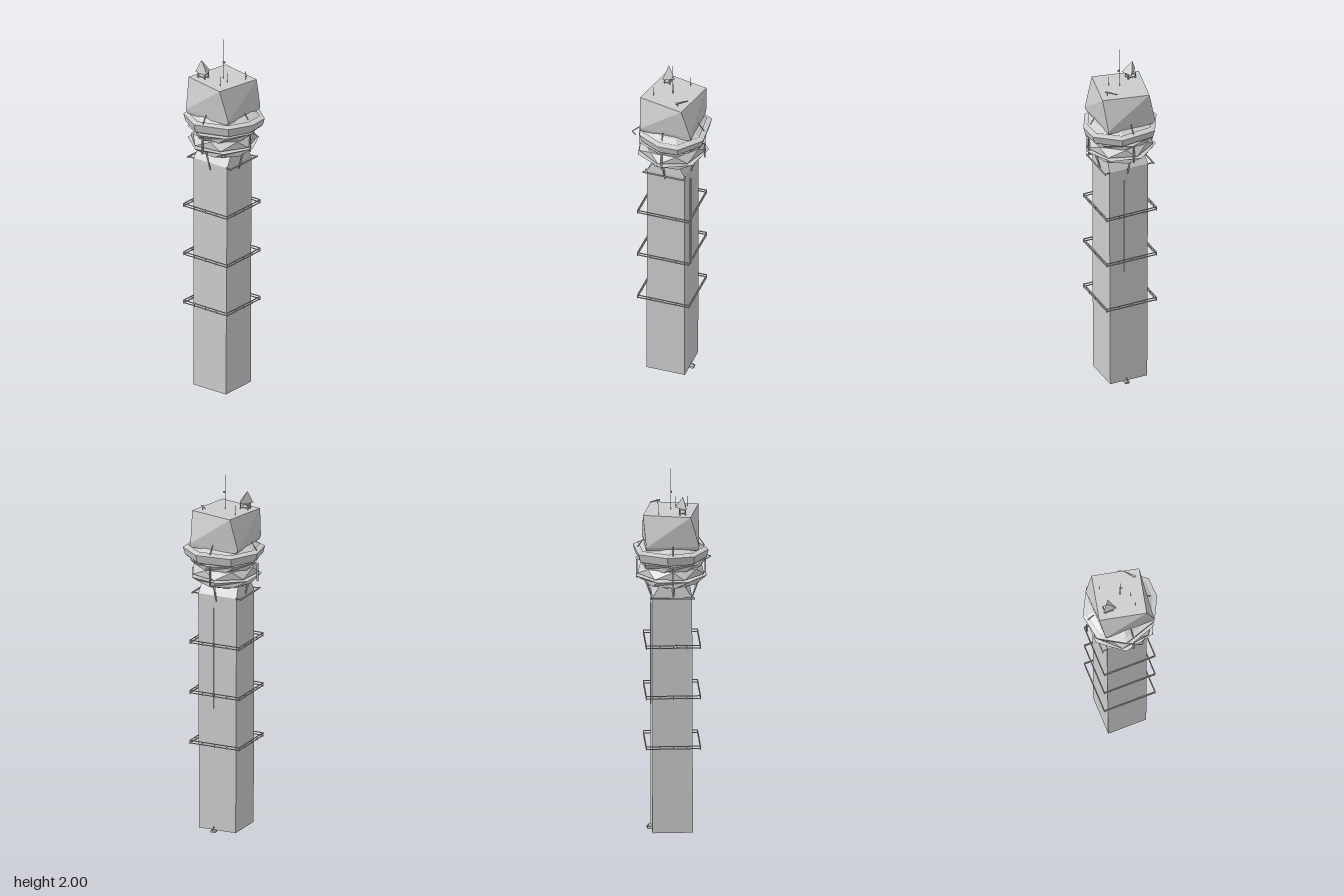
import * as THREE from 'three';

const concrete = new THREE.MeshStandardMaterial({ color: 0xcccccc, flatShading: true, side: THREE.DoubleSide });
concrete.name = 'pale grey concrete';

function add(parent, name, geometry) {
  const mesh = new THREE.Mesh(geometry, concrete);
  mesh.name = name;
  parent.add(mesh);
  return mesh;
}

function box(parent, name, w, h, d, x, y, z) {
  const mesh = add(parent, name, new THREE.BoxGeometry(w, h, d));
  mesh.position.set(x, y, z);
  return mesh;
}

// Thin straight rod between two points, optionally tapered
function rod(parent, name, a, b, rA = 0.003, rB = rA) {
  const from = new THREE.Vector3(...a), to = new THREE.Vector3(...b);
  const mesh = add(parent, name, new THREE.CylinderGeometry(rB, rA, from.distanceTo(to), 4));
  mesh.position.copy(from).lerp(to, 0.5);
  mesh.quaternion.setFromUnitVectors(new THREE.Vector3(0, 1, 0), to.sub(from).normalize());
  return mesh;
}

// Closed solid through stacked sections; each section is { y, p: [[x, z], ...] }
function loft(sections) {
  const n = sections[0].p.length;
  const pos = [], index = [];
  const mid = ({ y, p }) => [p.reduce((s, q) => s + q[0], 0) / n, y, p.reduce((s, q) => s + q[1], 0) / n];
  for (const { y, p } of sections) for (const [x, z] of p) pos.push(x, y, z);
  for (let s = 0; s < sections.length - 1; s++) {
    for (let i = 0; i < n; i++) {
      const j = (i + 1) % n, a = s * n, b = a + n;
      index.push(a + i, b + i, a + j, a + j, b + i, b + j);
    }
  }
  const top = (sections.length - 1) * n, c = sections.length * n;
  pos.push(...mid(sections[0]), ...mid(sections[sections.length - 1]));
  for (let i = 0; i < n; i++) {
    const j = (i + 1) % n;
    index.push(c, i, j, c + 1, top + j, top + i);
  }
  const g = new THREE.BufferGeometry();
  g.setAttribute('position', new THREE.Float32BufferAttribute(pos, 3));
  g.setIndex(index);
  const flat = g.toNonIndexed();
  flat.computeVertexNormals();
  return flat;
}

// Points run from the back left of the plan clockwise as seen from above
const rect = (x0, x1, z0, z1) => [[x0, z0], [x1, z0], [x1, z1], [x0, z1]];
const polygon = (n, r, turn) => Array.from({ length: n }, (_, i) => {
  const a = turn + (i / n) * Math.PI * 2;
  return [Math.cos(a) * r, Math.sin(a) * r - 0.01];
});
const scaled = (p, s) => p.map(([x, z]) => [x * s, z * s]);

export function createModel() {
  const tower = new THREE.Group();
  tower.name = 'controlTower';

  // Square shaft with a tapered neck
  add(tower, 'shaft', loft([
    { y: 0.01, p: rect(-0.115, 0.102, -0.115, 0.1) },
    { y: 1.32, p: rect(-0.12, 0.107, -0.115, 0.095) },
    { y: 1.38, p: rect(-0.112, 0.1, -0.08, 0.055) },
  ]));
  box(tower, 'backConduit', 0.009, 0.56, 0.008, 0.018, 0.97, -0.117);
  box(tower, 'doorStep', 0.025, 0.012, 0.022, 0.01, 0.006, -0.125);
  rod(tower, 'doorRail', [0.01, 0.01, -0.142], [0.01, 0.03, -0.12]);

  // Double railings around the shaft
  const xa = -0.152, xb = 0.138, za = -0.15, zb = 0.138;
  for (const y of [0.495, 0.775, 1.055]) {
    const ring = new THREE.Group();
    ring.name = 'shaftRailing';
    tower.add(ring);
    for (const h of [-0.007, 0.007]) {
      for (const z of [za, zb]) box(ring, 'rail', xb - xa, 0.004, 0.005, (xa + xb) / 2, y + h, z);
      for (const x of [xa, xb]) box(ring, 'rail', 0.005, 0.004, zb - za, x, y + h, (za + zb) / 2);
    }
    for (let i = 0; i < 5; i++) {
      const t = i / 4;
      for (const z of [za, zb]) box(ring, 'post', 0.004, 0.022, 0.004, xa + (xb - xa) * t, y - 0.002, z);
      for (const x of [xa, xb]) box(ring, 'post', 0.004, 0.022, 0.004, x, y - 0.002, za + (zb - za) * t);
    }
  }
  // Side rails at the neck
  for (const x of [-0.148, 0.136]) {
    box(tower, 'neckRail', 0.005, 0.008, 0.24, x, 1.322, -0.01);
    for (const z of [-0.12, 0.1]) box(tower, 'neckRailArm', 0.035, 0.005, 0.005, x - Math.sign(x) * 0.015, 1.322, z);
  }
  // Slanting struts under the head, one on each side
  for (const [x, z] of [[1, 0], [-1, 0], [0, 1], [0, -1]]) {
    rod(tower, 'strut', [x * 0.107, 1.285, z * 0.107 - 0.005], [x * 0.14, 1.4, z * 0.145 - 0.005], 0.003, 0.008);
  }

  // Stacked faceted galleries around a core
  add(tower, 'headCore', loft([
    { y: 1.37, p: polygon(8, 0.125, 0.2) },
    { y: 1.59, p: polygon(8, 0.14, 0.2) },
  ]));
  const galleries = [
    [1.378, 1.42, 7, 0.148, 0.195, 0.35, 0.0],
    [1.43, 1.472, 7, 0.182, 0.165, 0.1, 0.45],
    [1.468, 1.508, 8, 0.158, 0.192, 0.3, 0.05],
  ];
  for (const [y0, y1, n, r0, r1, t0, t1] of galleries) {
    add(tower, 'gallery', loft([
      { y: y0, p: polygon(n, r0, t0) },
      { y: y1, p: polygon(n, r1, t1) },
    ]));
  }
  const deck = [[-0.125, -0.19], [0.075, -0.21], [0.2, -0.11], [0.205, 0], [0.14, 0.125],
    [-0.045, 0.187], [-0.18, 0.105], [-0.205, -0.04]];
  add(tower, 'upperDeck', loft([
    { y: 1.513, p: scaled(deck, 0.9) },
    { y: 1.523, p: scaled(deck, 0.95) },
    { y: 1.563, p: deck },
    { y: 1.568, p: scaled(deck, 0.9) },
  ]));

  // Thin sill plate and short rail posts below the cab
  add(tower, 'sill', loft([
    { y: 1.574, p: scaled(deck, 0.88) },
    { y: 1.592, p: scaled(deck, 0.72) },
  ]));
  for (const [x, z] of [[0.185, -0.01], [-0.2, -0.01], [0, -0.2], [0, 0.178]]) {
    rod(tower, 'deckPost', [x * 0.94, 1.57, z * 0.94], [x * 0.78, 1.615, z * 0.78], 0.003, 0.002);
    box(tower, 'deckRailStub', 0.008, 0.1, 0.008, x * 0.96, 1.45, z * 0.96);
  }
  // Pointed bracket at the front
  rod(tower, 'frontBracket', [-0.01, 1.5, 0.18], [0.037, 1.5, 0.203]);
  rod(tower, 'frontBracket', [0.037, 1.5, 0.203], [0.062, 1.5, 0.175]);

  // Cab twisted between its sill and its roof
  add(tower, 'cab', loft([
    { y: 1.585, p: [[-0.135, -0.15], [0.13, -0.155], [0.13, 0.125], [-0.135, 0.128]] },
    { y: 1.605, p: [[-0.145, -0.15], [0.132, -0.158], [0.138, 0.125], [-0.142, 0.132]] },
    { y: 1.775, p: [[-0.105, -0.165], [0.145, -0.11], [0.09, 0.14], [-0.16, 0.085]] },
  ]));

  // Pointed radar housing on a small stand
  const stand = new THREE.Group();
  stand.name = 'radarStand';
  tower.add(stand);
  for (const x of [-0.115, -0.072]) {
    for (const z of [0.03, 0.06]) box(stand, 'leg', 0.005, 0.035, 0.005, x, 1.79, z);
  }
  for (const y of [1.785, 1.804]) box(stand, 'shelf', 0.048, 0.004, 0.035, -0.093, y, 0.045);
  add(tower, 'radarHousing', loft([
    { y: 1.808, p: [[-0.08, 0.004], [-0.052, 0.066], [-0.13, 0.066]] },
    { y: 1.872, p: [[-0.104, 0.045], [-0.103, 0.047], [-0.105, 0.047]] },
  ]));

  // Roof masts and aerial blade
  rod(tower, 'mainMast', [-0.003, 1.775, -0.012], [-0.003, 1.92, -0.012], 0.002, 0.0015);
  rod(tower, 'mastTip', [-0.003, 1.92, -0.012], [-0.003, 2, -0.012], 0.0015, 0.0004);
  box(tower, 'mastFitting', 0.012, 0.008, 0.008, 0.003, 1.87, -0.01);
  for (const [x, z] of [[-0.095, -0.08], [0.047, 0.018], [0.047, 0.078]]) {
    rod(tower, 'shortMast', [x, 1.775, z], [x, 1.83, z], 0.0012);
  }
  add(tower, 'aerialBlade', loft([
    { y: 1.793, p: [[0.06, -0.12], [0.112, -0.07], [0.102, -0.063]] },
    { y: 1.798, p: [[0.06, -0.12], [0.112, -0.07], [0.102, -0.063]] },
  ]));
  rod(tower, 'bladePost', [0.1, 1.775, -0.075], [0.1, 1.795, -0.075], 0.002);

  return tower;
}
